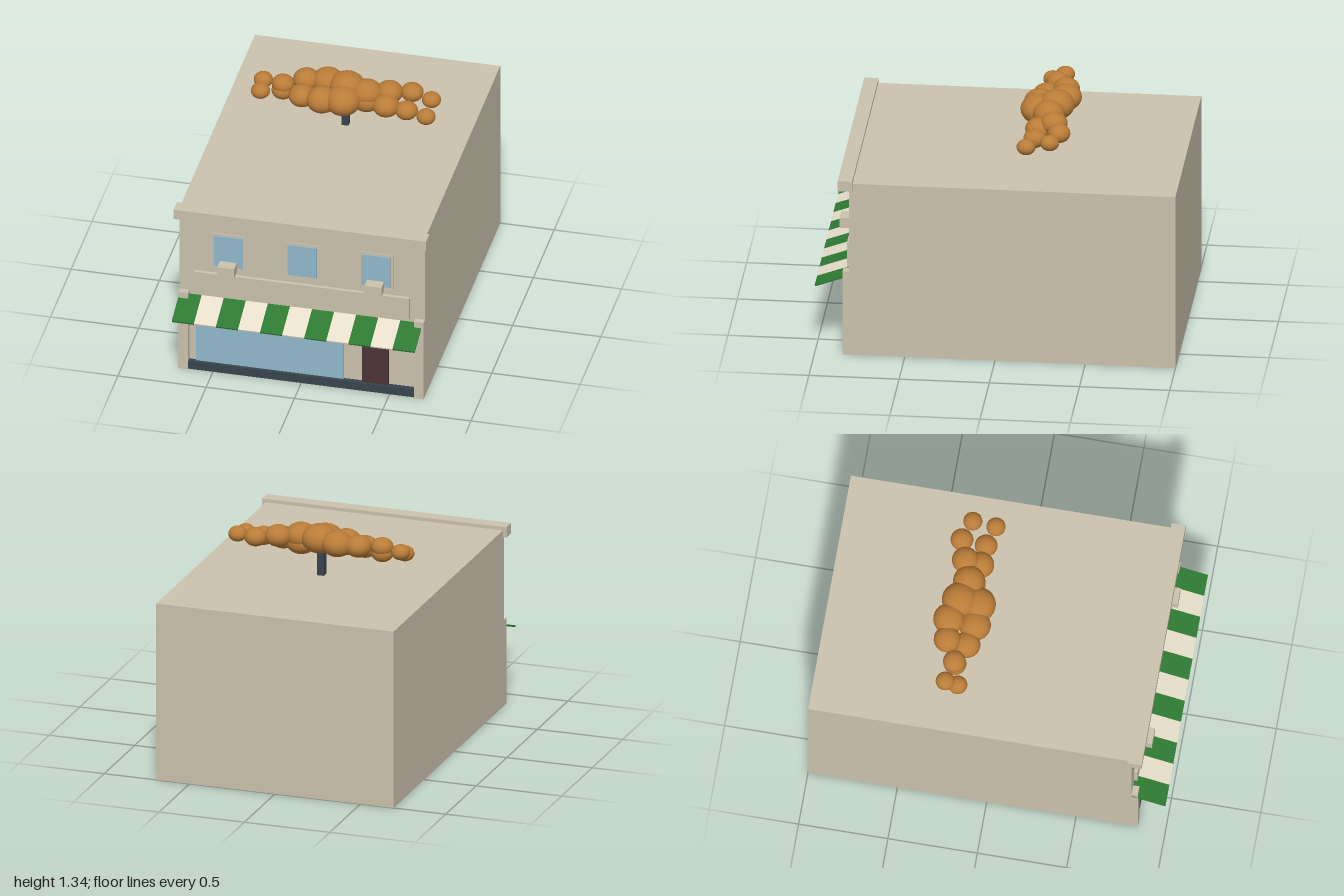
import * as THREE from 'three';

const mat = (name, color) => {
  const m = new THREE.MeshStandardMaterial({ color });
  m.name = name;
  return m;
};

export function createModel() {
  const model = new THREE.Group();
  model.name = 'shopBuilding';

  const wall = mat('wall stone', 0xcbc1ad);
  const glass = mat('window glass', 0x90b8cc);
  const green = mat('awning green', 0x2f7a33);
  const cream = mat('awning cream', 0xe8e0cc);
  const dark = mat('dark slate', 0x38434e);
  const wood = mat('door wood', 0x4c3236);
  const orange = mat('roof ornament orange', 0xba7c38);

  // Box given by its extents on each axis
  const box = (name, material, [x0, x1], [y0, y1], [z0, z1]) => {
    const mesh = new THREE.Mesh(new THREE.BoxGeometry(x1 - x0, y1 - y0, z1 - z0), material);
    mesh.position.set((x0 + x1) / 2, (y0 + y1) / 2, (z0 + z1) / 2);
    mesh.name = name;
    model.add(mesh);
    return mesh;
  };

  // Main body and front trim
  const face = 0.81;
  box('body', wall, [-0.695, 0.695], [0, 1.03], [-1, face]);
  box('cornice', wall, [-0.715, 0.715], [0.99, 1.05], [0.79, 0.87]);
  box('signPanel', wall, [-0.61, 0.61], [0.5, 0.635], [face, 0.83]);
  box('plinth', dark, [-0.69, 0.69], [0, 0.05], [face, 0.838]);
  for (const s of [-1, 1]) {
    const x = s * 0.6675;
    box('pilaster', wall, [x - 0.0275, x + 0.0275], [0, 0.5], [face, 0.845]);
  }

  // Ground floor openings
  box('shopWindow', glass, [-0.6, 0.235], [0.05, 0.37], [face, 0.82]);
  box('door', wood, [0.34, 0.49], [0.05, 0.325], [face, 0.825]);

  // Upper windows, with a box unit below the outer two
  for (const x of [-0.417, 0, 0.417]) {
    box('windowFrame', wall, [x - 0.098, x + 0.098], [0.67, 0.895], [face, 0.815]);
    box('windowPane', glass, [x - 0.083, x + 0.083], [0.685, 0.88], [face, 0.82]);
    if (x) box('windowBox', wall, [x - 0.048, x + 0.048], [0.66, 0.72], [0.815, 0.885]);
  }

  // Sloping striped awning
  const awning = new THREE.Group();
  awning.name = 'awning';
  awning.position.set(0, 0.436, 0.904);
  awning.rotation.x = Math.atan2(0.07, 0.19);
  const stripe = new THREE.BoxGeometry(0.125, 0.01, 0.202);
  for (let i = 0; i < 11; i++) {
    const mesh = new THREE.Mesh(stripe, i % 2 ? cream : green);
    mesh.name = 'awningStripe';
    mesh.position.x = -0.6325 + i * 0.125;
    awning.add(mesh);
  }
  model.add(awning);

  // Roof post
  box('roofPost', dark, [-0.02, 0.02], [1.03, 1.2], [-0.255, -0.215]);

  // Roof ornament: a double row of flattened balls, smaller toward the ends
  const radii = [0.1, 0.088, 0.075, 0.063, 0.053];
  const frontY = [1.222, 1.213, 1.207, 1.2, 1.198];
  const backY = [1.253, 1.248, 1.245, 1.236, 1.228];
  const frontZ = [-0.2, -0.235, -0.19, -0.165, -0.17, -0.235, -0.195, -0.185, -0.15];
  const backZ = [-0.27, -0.24, -0.3, -0.31, -0.27, -0.24, -0.28, -0.32, -0.28];
  const ball = new THREE.SphereGeometry(1, 24, 16);
  const ornament = new THREE.Group();
  ornament.name = 'roofOrnament';
  for (let i = 0; i < 9; i++) {
    const k = Math.abs(i - 4);
    for (const [y, z] of [[frontY[k], frontZ[i]], [backY[k], backZ[i]]]) {
      const mesh = new THREE.Mesh(ball, orange);
      mesh.name = 'ornamentBall';
      mesh.scale.set(radii[k], radii[k] * 0.82, radii[k]);
      mesh.position.set((i - 4) * 0.1187, y, z);
      ornament.add(mesh);
    }
  }
  model.add(ornament);

  return model;
}
